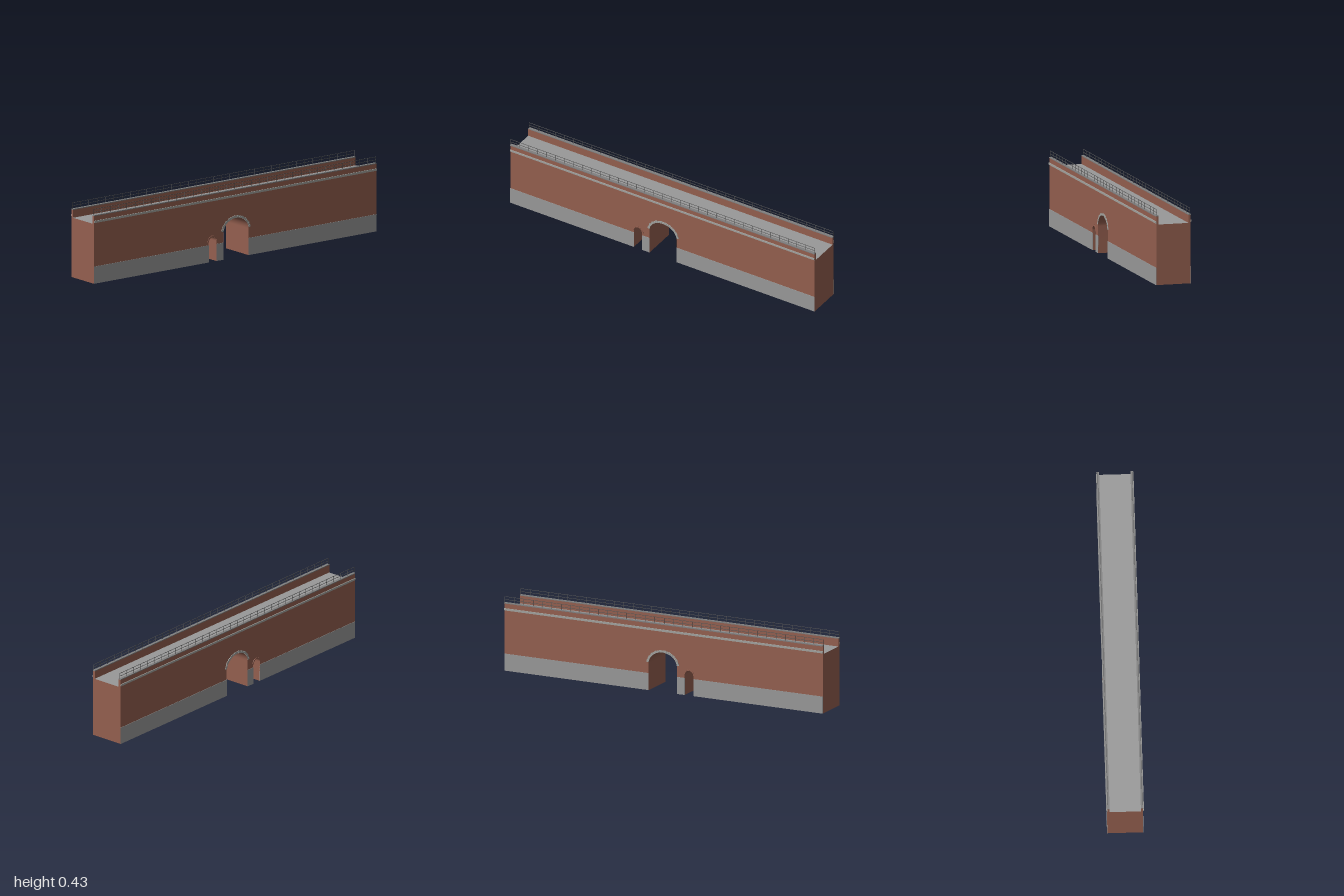
import * as THREE from 'three';
import { mergeGeometries } from 'three/addons/utils/BufferGeometryUtils.js';

const DS = THREE.DoubleSide;
const paint = (name, color) => Object.assign(new THREE.MeshStandardMaterial({ color, side: DS }), { name });

// openings through the wall: centre x, half width, springing height, rise
const MAIN = { x: 0.005, w: 0.089, s: 0.153, r: 0.074 };
const SMALL = { x: -0.16, w: 0.027, s: 0.115, r: 0.027 };
const Z = 0.1, PLINTH_Z = 0.102, PLINTH_Y = 0.098, DECK = 0.342, TOP = 0.387;

const arcPoint = (a, t, grow = 0) => new THREE.Vector2(
  a.x - (a.w + grow) * Math.cos(t), a.s + (a.r + grow) * Math.sin(t));

// outline of an opening, from left foot over the crown to right foot
function openingPath(a, foot, n = 20) {
  const pts = [new THREE.Vector2(a.x - a.w, foot)];
  for (let i = 0; i <= n; i++) pts.push(arcPoint(a, Math.PI * i / n));
  pts.push(new THREE.Vector2(a.x + a.w, foot));
  return pts;
}

function box(x0, x1, y0, y1, z0, z1) {
  return new THREE.BoxGeometry(x1 - x0, y1 - y0, z1 - z0)
    .translate((x0 + x1) / 2, (y0 + y1) / 2, (z0 + z1) / 2);
}

// lining of an opening, swept through the whole width
function lining(a) {
  const pts = openingPath(a, 0), pos = [], idx = [];
  pts.forEach((p, i) => {
    pos.push(p.x, p.y, -PLINTH_Z, p.x, p.y, PLINTH_Z);
    const k = 2 * i;
    if (i) idx.push(k - 2, k - 1, k, k - 1, k + 1, k);
  });
  const g = new THREE.BufferGeometry();
  g.setAttribute('position', new THREE.Float32BufferAttribute(pos, 3));
  g.setIndex(idx);
  g.computeVertexNormals();
  return g;
}

// ring of wedge stones around an arch, every other one slightly longer
function archRing(a, count, depth, from) {
  const stones = [];
  for (let i = 0; i < count; i++) {
    const step = (Math.PI - 2 * from) / count;
    const t0 = from + step * (i + 0.03), t1 = from + step * (i + 0.97);
    const out = i % 2 ? depth * 0.85 : depth;
    const shape = new THREE.Shape([
      arcPoint(a, t0), arcPoint(a, t0, out), arcPoint(a, (t0 + t1) / 2, out),
      arcPoint(a, t1, out), arcPoint(a, t1), arcPoint(a, (t0 + t1) / 2)]);
    stones.push(new THREE.ExtrudeGeometry(shape, { depth: 0.003, bevelEnabled: false }));
  }
  return mergeGeometries(stones).translate(0, 0, Z);
}

// handrail with evenly spaced posts
function railing() {
  const parts = [], n = 34, r = 0.001;
  for (let i = 0; i <= n; i++) {
    const x = -0.999 + 1.998 * i / n;
    parts.push(box(x - r, x + r, 0.391, 0.427, -r, r));
  }
  for (const y of [0.409, 0.426]) parts.push(box(-1, 1, y - r, y + r, -r, r));
  return mergeGeometries(parts).translate(0, 0, 0.096);
}

export function createModel() {
  const brick = paint('brick', 0x945f4f);
  const stone = paint('stone', 0x999999);
  const trim = paint('trim stone', 0xa3a39f);
  const coping = paint('coping stone', 0x808080);
  const iron = paint('iron', 0x555555);

  const group = new THREE.Group();
  group.name = 'viaduct';
  const add = (parent, name, geometry, material) => {
    const mesh = new THREE.Mesh(geometry, material);
    mesh.name = name;
    parent.add(mesh);
    return mesh;
  };

  // brick face above the plinth, cut by the two openings
  const face = new THREE.ShapeGeometry(new THREE.Shape([
    new THREE.Vector2(-1, PLINTH_Y),
    ...openingPath(SMALL, PLINTH_Y), ...openingPath(MAIN, PLINTH_Y),
    new THREE.Vector2(1, PLINTH_Y), new THREE.Vector2(1, DECK), new THREE.Vector2(-1, DECK),
  ])).translate(0, 0, Z);

  // plinth in three lengths between the openings
  const plinth = mergeGeometries([
    [-1, SMALL.x - SMALL.w], [SMALL.x + SMALL.w, MAIN.x - MAIN.w], [MAIN.x + MAIN.w, 1],
  ].map(([a, b]) => box(a, b, 0, PLINTH_Y, Z, PLINTH_Z)));

  const stringCourse = mergeGeometries([
    box(-1, 1, 0.350, 0.360, Z, 0.1045),
    box(-1, 1, 0.347, 0.350, Z, 0.102),
  ]);
  const mainRing = archRing(MAIN, 19, 0.014, 0.1);
  const smallRing = archRing(SMALL, 9, 0.008, 0);
  const rail = railing();

  // both long sides, mirrored front to back
  for (const side of [1, -1]) {
    const half = new THREE.Group();
    half.name = side > 0 ? 'frontSide' : 'backSide';
    half.scale.z = side;
    add(half, 'wallFace', face, brick);
    add(half, 'plinth', plinth, stone);
    add(half, 'parapet', box(-1, 1, DECK, TOP, 0.088, Z), brick);
    add(half, 'stringCourse', stringCourse, trim);
    add(half, 'coping', box(-1, 1, TOP, 0.392, 0.087, 0.103), coping);
    add(half, 'mainArchRing', mainRing, trim);
    add(half, 'smallArchRing', smallRing, brick);
    add(half, 'railing', rail, iron);
    group.add(half);
  }

  // end walls; the underside is left open
  for (const x of [-1, 1]) {
    const end = new THREE.PlaneGeometry(2 * Z, DECK).rotateY(x * Math.PI / 2).translate(x, DECK / 2, 0);
    add(group, x > 0 ? 'leftEndWall' : 'rightEndWall', end, brick);
  }

  add(group, 'deck', new THREE.PlaneGeometry(2, 0.176).rotateX(-Math.PI / 2).translate(0, DECK, 0), stone);
  add(group, 'mainArchLining', lining(MAIN), brick);
  add(group, 'smallArchLining', lining(SMALL), brick);
  return group;
}
